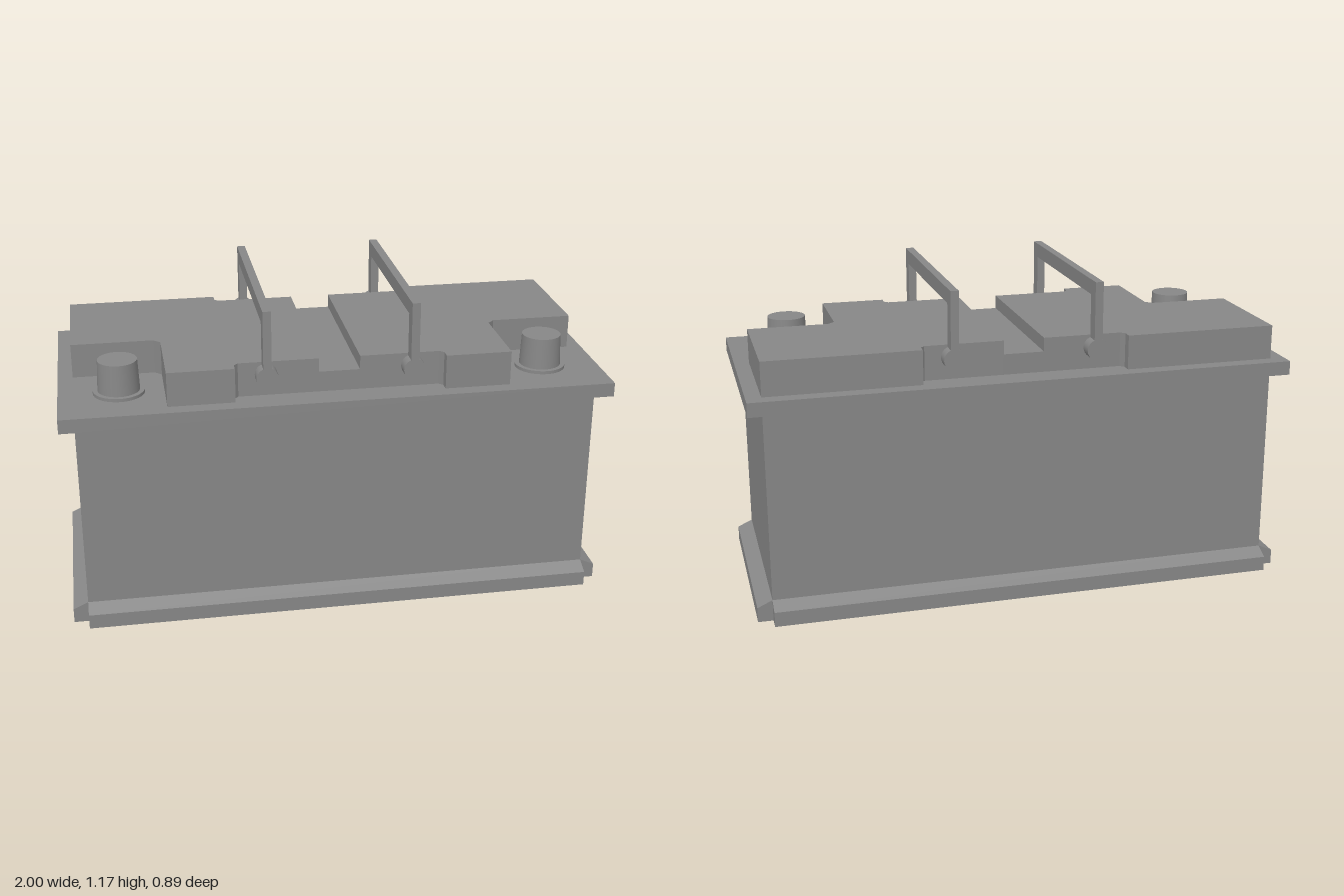
import * as THREE from 'three';

const material = new THREE.MeshStandardMaterial({ color: 0x878787, flatShading: true });
const smooth = new THREE.MeshStandardMaterial({ color: 0x878787 });

function add(parent, name, geometry, x = 0, y = 0, z = 0, mat = material) {
  const mesh = new THREE.Mesh(geometry, mat);
  mesh.name = name;
  mesh.position.set(x, y, z);
  parent.add(mesh);
  return mesh;
}

const box = (w, h, d) => new THREE.BoxGeometry(w, h, d);

function extrude(points, depth) {
  const shape = new THREE.Shape(points.map(([x, y]) => new THREE.Vector2(x, y)));
  return new THREE.ExtrudeGeometry(shape, { depth, bevelEnabled: false });
}

// Sloped ledge along one lower edge, facing the given angle
function addLedge(parent, name, angle, inner, outer, length) {
  const profile = [[inner, 0], [outer, 0], [outer, 0.055], [inner, 0.08]];
  const geometry = extrude(profile, length);
  geometry.translate(0, 0, -length / 2);
  add(parent, name, geometry).rotation.y = angle;
}

// Raised half of the cover, with terminal recess and handle notches
function addCoverHalf(parent, side) {
  const outline = [
    [0.075, 0.34], [0.365, 0.34], [0.38, 0.355], [0.38, 0.39],
    [0.945, 0.39], [0.945, -0.06], [0.645, -0.06], [0.62, -0.085],
    [0.62, -0.39], [0.38, -0.39], [0.38, -0.355], [0.365, -0.34], [0.075, -0.34],
  ].map(([x, y]) => [x * side, y]);
  const mesh = add(parent, side > 0 ? 'leftCover' : 'rightCover', extrude(outline, 0.127), 0, 0.84, 0);
  mesh.rotation.x = -Math.PI / 2;
}

// Tapered post on a thin round flange
function addTerminal(parent, side) {
  const terminal = new THREE.Group();
  terminal.name = side > 0 ? 'leftTerminal' : 'rightTerminal';
  terminal.position.set(side * 0.782, 0, 0.227);
  add(terminal, 'flange', new THREE.CylinderGeometry(0.093, 0.093, 0.012, 32), 0, 0.846, 0, smooth);
  add(terminal, 'post', new THREE.CylinderGeometry(0.071, 0.076, 0.115, 32), 0, 0.9095, 0, smooth);
  parent.add(terminal);
}

// Square bail handle with round pivots at both ends
function addHandle(parent, side) {
  const handle = new THREE.Group();
  handle.name = side > 0 ? 'leftHandle' : 'rightHandle';
  handle.position.x = side * 0.265;
  const bail = extrude([
    [-0.39, 0.93], [-0.34, 0.93], [-0.34, 1.117], [0.34, 1.117],
    [0.34, 0.93], [0.39, 0.93], [0.39, 1.171], [-0.39, 1.171],
  ], 0.03);
  bail.translate(0, 0, -0.015);
  add(handle, 'bail', bail).rotation.y = Math.PI / 2;
  for (const end of [-1, 1]) {
    const pivot = new THREE.CylinderGeometry(0.04, 0.04, 0.05, 24);
    pivot.rotateX(Math.PI / 2);
    add(handle, 'pivot', pivot, 0, 0.921, end * 0.365, smooth);
  }
  parent.add(handle);
}

export function createModel() {
  const group = new THREE.Group();
  group.name = 'carBattery';

  // Case and lid
  add(group, 'case', box(1.89, 0.79, 0.78), 0, 0.395, 0);
  add(group, 'lid', box(2, 0.052, 0.888), 0, 0.814, 0);

  // Hold-down ledges, open at the corners
  addLedge(group, 'leftLedge', 0, 0.945, 1, 0.78);
  addLedge(group, 'rightLedge', Math.PI, 0.945, 1, 0.78);
  addLedge(group, 'frontLedge', -Math.PI / 2, 0.39, 0.444, 1.89);
  addLedge(group, 'backLedge', Math.PI / 2, 0.39, 0.444, 1.89);

  // Floor of the central channel
  add(group, 'channelFloor', box(0.15, 0.076, 0.68), 0, 0.878, 0);

  for (const side of [-1, 1]) {
    addCoverHalf(group, side);
    addTerminal(group, side);
    addHandle(group, side);
  }
  return group;
}
